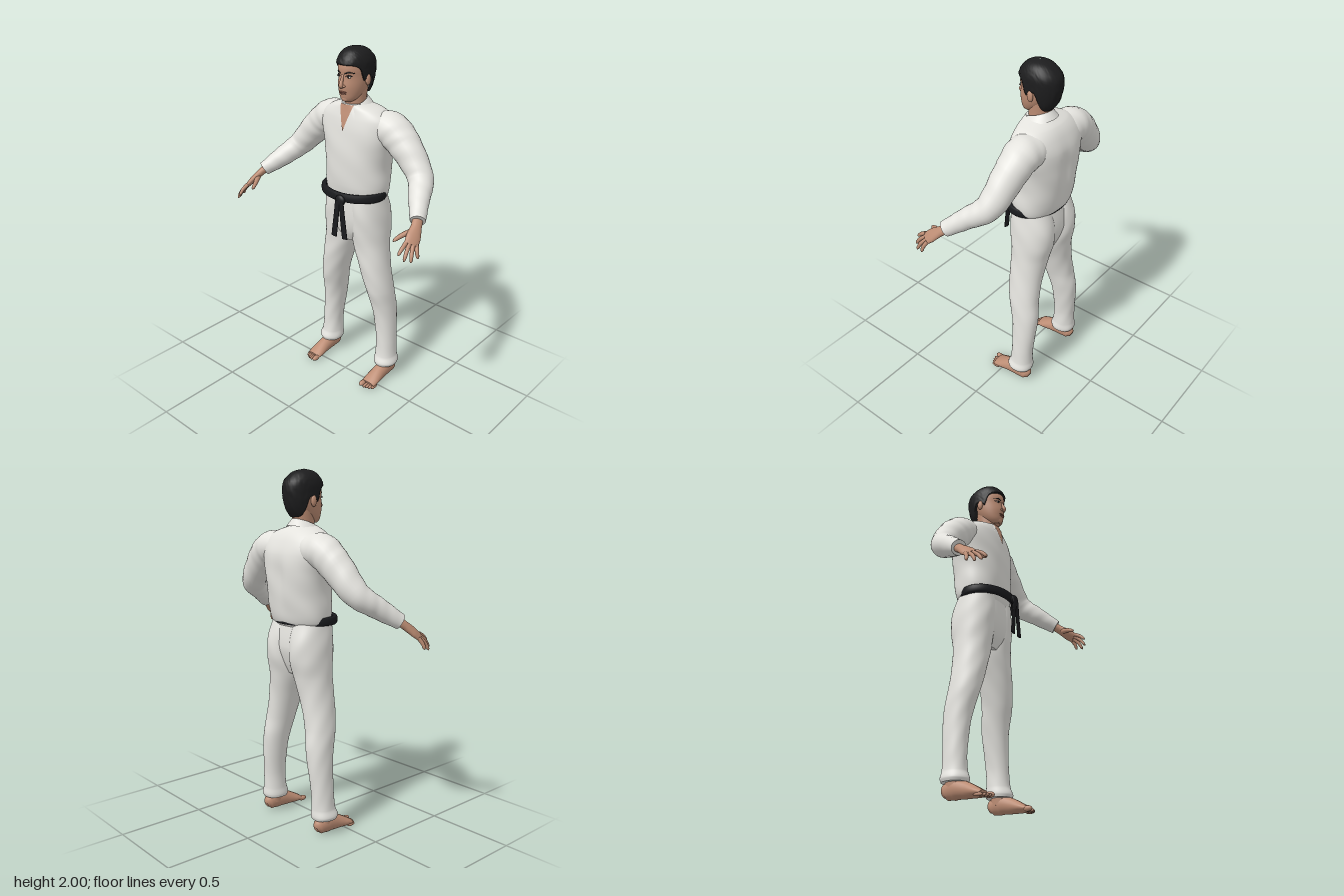
import * as THREE from 'three';

const V = (x, y, z) => new THREE.Vector3(x, y, z);

// Skin a surface over rings of points; u wraps round unless open
function skin(rings, open = false) {
  const n = rings[0].length, pos = [], idx = [];
  for (const r of rings) for (const p of r) pos.push(p.x, p.y, p.z);
  for (let j = 0; j < rings.length - 1; j++) {
    for (let i = 0; i < (open ? n - 1 : n); i++) {
      const k = (i + 1) % n, a = j * n + i, b = j * n + k;
      idx.push(a, b, a + n, b, b + n, a + n);
    }
  }
  const g = new THREE.BufferGeometry();
  g.setAttribute('position', new THREE.Float32BufferAttribute(pos, 3));
  g.setIndex(idx);
  g.computeVertexNormals();
  return g;
}

// Close both ends with flat caps
function capped(rings) {
  const flat = r => {
    const c = r.reduce((s, p) => s.add(p), V(0, 0, 0)).divideScalar(r.length);
    return r.map(() => c);
  };
  const a = rings[0], b = rings[rings.length - 1];
  return skin([flat(a), a, ...rings, b, flat(b)]);
}

// Smooth interpolation of rows [key, ...values]
function at(keys, y) {
  let i = 0;
  while (i < keys.length - 2 && y > keys[i + 1][0]) i++;
  const A = keys[i], B = keys[i + 1], h = B[0] - A[0];
  const t = Math.min(1, Math.max(0, (y - A[0]) / h));
  const slope = (k, c) => {
    const p = keys[Math.max(0, k - 1)], q = keys[Math.min(keys.length - 1, k + 1)];
    return (q[c] - p[c]) / (q[0] - p[0]);
  };
  return A.slice(1).map((v, k) => {
    const c = k + 1, t2 = t * t, t3 = t2 * t;
    return v * (2 * t3 - 3 * t2 + 1) + B[c] * (3 * t2 - 2 * t3)
      + h * (slope(i, c) * (t3 - 2 * t2 + t) + slope(i + 1, c) * (t3 - t2));
  });
}

const power = (v, p) => Math.sign(v) * Math.abs(v) ** p;

// Point on a body of horizontal sections [y, centreX, halfWidth, frontZ, backZ]
function onBody(keys, a, y, p = 1, fold = 0) {
  const [cx, rx, zf, zb] = at(keys, y);
  const f = 1 + fold * Math.sin(3 * a + 13 * y) * Math.sin(24 * y + 2 * a);
  return V(cx + rx * f * power(Math.sin(a), p), y, (zf + zb) / 2 + (zf - zb) / 2 * f * power(Math.cos(a), p));
}

function loft(keys, { p = 1, fold = 0, steps = 6, n = 40 } = {}) {
  const rings = [];
  for (let k = 0; k < keys.length - 1; k++) {
    for (let s = k ? 1 : 0; s <= steps; s++) {
      const y = THREE.MathUtils.lerp(keys[k][0], keys[k + 1][0], s / steps);
      rings.push(Array.from({ length: n }, (_, i) => onBody(keys, i / n * Math.PI * 2, y, p, fold)));
    }
  }
  return capped(rings);
}

function frontZ(keys, x, y, p = 1) {
  const [cx, rx, zf, zb] = at(keys, y);
  const k = Math.max(0, 1 - Math.abs((x - cx) / rx) ** (2 / p));
  return (zf + zb) / 2 + (zf - zb) / 2 * k ** (p / 2);
}

// Tapered limb through points [x, y, z, radius1, radius2]
function limb(pts, ref, { n = 14, steps = 6, fold = 0, round = false } = {}) {
  const curve = new THREE.CatmullRomCurve3(pts.map(q => V(q[0], q[1], q[2])));
  const count = (pts.length - 1) * steps, rings = [];
  for (let j = 0; j <= count; j++) {
    const t = j / count, k = Math.min(pts.length - 2, Math.floor(j / steps)), f = j / steps - k;
    const c = curve.getPoint(t), d = curve.getTangent(t);
    const n1 = ref.clone().cross(d).normalize(), n2 = d.clone().cross(n1);
    const end = round ? Math.sqrt(1 - Math.max(0, (t - 0.8) / 0.21) ** 2) : 1;
    const r = [3, 4].map(m => THREE.MathUtils.lerp(pts[k][m], pts[k + 1][m], f) * end);
    rings.push(Array.from({ length: n }, (_, i) => {
      const a = i / n * Math.PI * 2, w = 1 + fold * Math.sin(2 * a + 22 * t) * Math.sin(37 * t);
      return c.clone().addScaledVector(n1, r[0] * w * Math.cos(a)).addScaledVector(n2, r[1] * w * Math.sin(a));
    }));
  }
  return capped(rings);
}

const ball = (x, y, z, rx, ry, rz) => new THREE.SphereGeometry(1, 18, 12).scale(rx, ry, rz).translate(x, y, z);

function mirrored(geo) {
  const g = geo.clone().scale(-1, 1, 1), ix = g.index.array;
  for (let i = 0; i < ix.length; i += 3) [ix[i], ix[i + 1]] = [ix[i + 1], ix[i]];
  return g;
}

const TORSO = [[1.16, 0, 0.175, 0.01, -0.215], [1.19, 0, 0.19, 0.02, -0.235], [1.25, 0, 0.197, 0.03, -0.25],
  [1.35, 0, 0.195, 0.035, -0.265], [1.45, 0, 0.21, 0.032, -0.27], [1.55, 0, 0.235, 0.02, -0.265],
  [1.62, 0, 0.225, 0.006, -0.24], [1.67, 0, 0.165, -0.008, -0.205], [1.7, 0, 0.075, -0.015, -0.16]];
const PELVIS = [[0.89, 0, 0.07, -0.03, -0.18], [0.96, 0, 0.165, 0.003, -0.21], [1.05, 0, 0.188, 0.017, -0.23],
  [1.2, 0, 0.175, 0.012, -0.21]];
const LEG = [[0.09, 0.22, 0.066, -0.055, -0.2], [0.11, 0.221, 0.071, -0.05, -0.205], [0.15, 0.217, 0.062, -0.064, -0.2],
  [0.25, 0.214, 0.058, -0.07, -0.202], [0.4, 0.2, 0.063, -0.065, -0.215], [0.5, 0.188, 0.069, -0.05, -0.218],
  [0.6, 0.172, 0.076, -0.025, -0.206], [0.75, 0.137, 0.087, -0.006, -0.205], [0.88, 0.107, 0.102, 0, -0.22],
  [0.98, 0.1, 0.105, 0.01, -0.243], [1.08, 0.097, 0.1, 0.016, -0.243], [1.19, 0.09, 0.09, 0.012, -0.21]];
const NECK = [[1.58, 0, 0.06, -0.02, -0.16], [1.7, 0, 0.055, -0.022, -0.148], [1.79, 0, 0.06, -0.02, -0.16]];
const HEAD = [[1.715, 0, 0.025, 0.002, -0.05], [1.73, 0, 0.045, 0.014, -0.08], [1.76, 0, 0.062, 0.021, -0.12],
  [1.8, 0, 0.073, 0.026, -0.16], [1.85, 0, 0.079, 0.022, -0.19], [1.9, 0, 0.081, 0.025, -0.2],
  [1.95, 0, 0.07, 0.005, -0.18], [1.985, 0, 0.035, -0.04, -0.13]];
const HAIR = [[1.74, 0, 0.066, 0, -0.152], [1.78, 0, 0.078, 0.02, -0.185], [1.83, 0, 0.086, 0.028, -0.203],
  [1.88, 0, 0.089, 0.033, -0.211], [1.93, 0, 0.087, 0.029, -0.205], [1.97, 0, 0.068, 0, -0.168],
  [1.99, 0, 0.042, -0.03, -0.133], [2, 0, 0.003, -0.078, -0.084]];
const HAIRLINE = [[0, 1.915], [0.8, 1.91], [1.12, 1.885], [1.3, 1.83], [1.5, 1.852], [1.75, 1.85], [2, 1.79],
  [2.4, 1.755], [3.15, 1.745]];

export function createModel() {
  const model = new THREE.Group();
  const mat = (name, color, side = THREE.FrontSide) => new THREE.MeshStandardMaterial({ name, color, side });
  const cloth = mat('white cloth', 0xe4e3de, THREE.DoubleSide), flesh = mat('skin', 0xbd8d74);
  const dark = mat('black hair', 0x1d1d1e), black = mat('black belt', 0x1a1b1e);
  const lip = mat('lips', 0x96604f), white = mat('eye white', 0xd9d2cb);
  const add = (name, geo, m) => {
    const mesh = new THREE.Mesh(geo, m);
    mesh.name = name;
    model.add(mesh);
  };
  const pair = (name, geo, m) => {
    add('left' + name, geo, m);
    add('right' + name, mirrored(geo), m);
  };

  // Shirt and trousers
  const back = loft(TORSO, { p: 0.88, fold: 0.012, n: 64 }), pos = back.attributes.position;
  for (let i = 0; i < pos.count; i++) { // hollow along the spine
    const x = pos.getX(i), y = pos.getY(i), z = pos.getZ(i);
    if (z < -0.15) pos.setZ(i, z + 0.016 * Math.exp(-((x / 0.04) ** 2) - ((y - 1.42) / 0.13) ** 2));
  }
  back.computeVertexNormals();
  add('shirtBody', back, cloth);
  add('trouserSeat', loft(PELVIS, { p: 0.9 }), cloth);
  pair('TrouserLeg', loft(LEG, { p: 0.95, fold: 0.018 }), cloth);
  pair('Sleeve', limb([[0.1, 1.575, -0.135, 0.085, 0.1], [0.21, 1.573, -0.135, 0.097, 0.1], [0.31, 1.5, -0.13, 0.088, 0.088],
    [0.435, 1.365, -0.1, 0.07, 0.07], [0.495, 1.295, -0.01, 0.058, 0.058], [0.563, 1.222, 0.09, 0.04, 0.042]],
  V(0, 0, 1), { n: 28, steps: 8, fold: 0.03 }), cloth);

  // Folded collar with pointed front flaps
  const collar = [];
  for (let v = 5; v >= 0; v--) {
    collar.push(Array.from({ length: 49 }, (_, i) => {
      const s = i / 24 - 1, a0 = Math.PI + s * (Math.PI - 0.38);
      const gap = Math.min(a0, Math.PI * 2 - a0), f = Math.max(0, 1 - gap) / 0.62, t = v / 5;
      const a = a0 - Math.sign(s) * 0.3 * f * t;
      const y = 1.69 + 0.05 * (1 - Math.cos(gap)) / 2 - t * (0.038 + 0.025 * f);
      return V((0.064 + 0.034 * t) * Math.sin(a), y, -0.078 + (0.074 + 0.028 * t) * Math.cos(a));
    }));
  }
  add('collar', skin(collar, true), cloth);

  // Bare skin in the open neck
  const opening = [];
  for (let j = 0; j <= 10; j++) {
    const y = 1.56 + 0.0138 * j;
    opening.push(Array.from({ length: 9 }, (_, i) => {
      const x = (i / 4 - 1) * (0.001 + 0.0045 * j);
      return V(x, y, frontZ(TORSO, x, y, 0.88) + 0.006);
    }));
  }
  add('neckOpening', skin(opening, true), flesh);
  add('neck', loft(NECK), flesh);

  // Head and face
  add('head', loft(HEAD), flesh);
  add('nose', limb([[0, 1.862, 0.018, 0.007, 0.006], [0, 1.835, 0.028, 0.008, 0.009], [0, 1.808, 0.036, 0.013, 0.012],
    [0, 1.797, 0.029, 0.01, 0.008]], V(0, 0, 1)), flesh);
  pair('Nostril', ball(0.012, 1.804, 0.026, 0.008, 0.007, 0.01), flesh);
  add('upperLip', ball(0, 1.771, 0.02, 0.024, 0.005, 0.01), lip);
  add('lowerLip', ball(0, 1.763, 0.019, 0.02, 0.005, 0.01), lip);
  add('chin', ball(0, 1.733, 0.005, 0.022, 0.016, 0.012), flesh);
  const eyeZ = frontZ(HEAD, 0.034, 1.853);
  pair('Eye', ball(0.034, 1.853, eyeZ, 0.015, 0.006, 0.004).applyMatrix4(new THREE.Matrix4()), white);
  pair('Iris', ball(0.034, 1.853, eyeZ + 0.002, 0.006, 0.006, 0.004), dark);
  pair('EyeLid', limb([[0.018, 1.856, frontZ(HEAD, 0.018, 1.856), 0.002, 0.002], [0.034, 1.861, frontZ(HEAD, 0.034, 1.861), 0.003, 0.003],
    [0.05, 1.855, frontZ(HEAD, 0.05, 1.855), 0.002, 0.002]], V(0, 1, 0), { n: 8 }), dark);
  pair('Eyebrow', limb([[0.014, 1.87, frontZ(HEAD, 0.014, 1.87), 0.003, 0.003], [0.036, 1.877, frontZ(HEAD, 0.036, 1.877), 0.003, 0.004],
    [0.058, 1.872, frontZ(HEAD, 0.058, 1.872), 0.002, 0.002]], V(0, 1, 0), { n: 8 }), dark);
  pair('Ear', ball(0.083, 1.832, -0.085, 0.012, 0.031, 0.018).translate(0.002, 0, 0), flesh);

  // Short rough hair following the hairline
  const hair = [];
  for (let j = 0; j <= 22; j++) {
    hair.push(Array.from({ length: 72 }, (_, i) => {
      const a = i / 72 * Math.PI * 2, low = at(HAIRLINE, Math.min(a, Math.PI * 2 - a))[0];
      const t = Math.max(0, j - 1) / 21, y = low + (2 - low) * Math.sin(t * Math.PI / 2);
      const q = onBody(HAIR, a, y, 0.95), rough = Math.sin(i * 12.99 + j * 78.23) * 43758.55;
      const k = (j ? 1 : 0.8) * (1 + 0.03 * (rough - Math.floor(rough) - 0.5));
      return V(q.x * k, y, -0.085 + (q.z + 0.085) * k);
    }));
  }
  add('hair', skin(hair), dark);

  // Hands
  const palmUp = V(0.69, 0.71, 0.23);
  pair('Palm', limb([[0.553, 1.232, 0.075, 0.028, 0.023], [0.573, 1.2, 0.115, 0.029, 0.021], [0.59, 1.165, 0.16, 0.04, 0.018],
    [0.602, 1.136, 0.195, 0.038, 0.012]], palmUp, { n: 20 }), flesh);
  const fingers = {
    IndexFinger: [[0.583, 1.15, 0.212], [0.585, 1.13, 0.247], [0.583, 1.103, 0.275]],
    MiddleFinger: [[0.595, 1.143, 0.2], [0.606, 1.112, 0.238], [0.611, 1.075, 0.264]],
    RingFinger: [[0.607, 1.137, 0.185], [0.624, 1.103, 0.217], [0.634, 1.064, 0.236]],
    LittleFinger: [[0.617, 1.135, 0.17], [0.634, 1.105, 0.186], [0.645, 1.074, 0.192]],
    Thumb: [[0.57, 1.185, 0.135], [0.538, 1.168, 0.185], [0.517, 1.145, 0.233]],
  };
  for (const [name, path] of Object.entries(fingers)) {
    const r = name === 'Thumb' ? [0.017, 0.013, 0.009] : [0.0115, 0.0105, 0.008];
    pair(name, limb(path.map((q, i) => [...q, r[i], r[i]]), palmUp, { n: 12, round: true }), flesh);
  }

  // Bare feet
  pair('Foot', limb([[0.225, 0.036, -0.193, 0.016, 0.02], [0.225, 0.045, -0.175, 0.034, 0.043], [0.225, 0.055, -0.12, 0.041, 0.055],
    [0.225, 0.043, -0.05, 0.042, 0.043], [0.225, 0.028, 0.01, 0.048, 0.028], [0.225, 0.018, 0.05, 0.046, 0.016]],
  V(0, 1, 0), { n: 24 }), flesh);
  pair('Ankle', loft([[0.05, 0.224, 0.04, -0.075, -0.18], [0.13, 0.222, 0.042, -0.08, -0.175]]), flesh);
  for (let i = 0; i < 5; i++) {
    const r = i ? 0.0105 - i * 0.0004 : 0.016;
    pair('Toe' + (i + 1), ball(i ? 0.202 + i * 0.0158 : 0.194, r, 0.062 - i * i * 0.0014, r, r, 0.028), flesh);
  }

  // Belt with knot and two hanging ends
  const belt = [];
  for (let j = 0; j <= 64; j++) {
    const a = j / 64 * Math.PI * 2;
    belt.push(Array.from({ length: 12 }, (_, i) => {
      const b = i / 12 * Math.PI * 2, r = 0.016 * power(Math.cos(b), 0.6);
      return V((0.188 + r) * Math.sin(a), 1.195 - 0.024 * power(Math.sin(b), 0.6), -0.076 + (0.142 + r) * Math.cos(a));
    }));
  }
  add('belt', skin(belt), black);
  add('beltKnot', ball(0.035, 1.182, 0.083, 0.034, 0.032, 0.016), black);
  const tail = (x0, x1, z) => limb([[x0, 1.185, z, 0.018, 0.007], [(x0 + x1) / 2, 1.07, z, 0.019, 0.006],
    [x1, 0.96, z, 0.02, 0.006]], V(0, 0, 1), { n: 12 });
  add('beltEndRight', tail(0.025, -0.003, 0.092), black);
  add('beltEndLeft', tail(0.045, 0.074, 0.09), black);
  return model;
}
